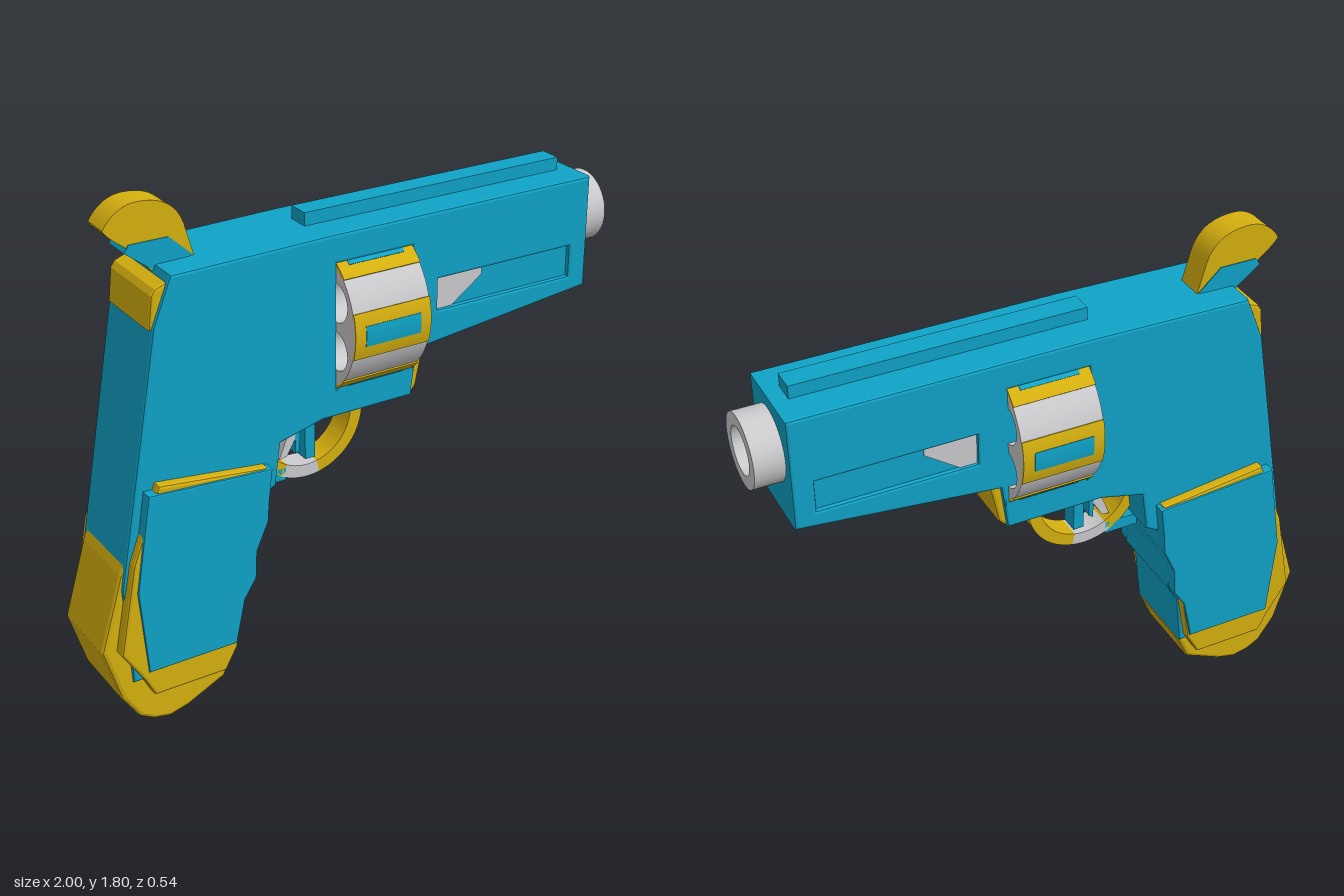
import * as THREE from 'three';
import { toCreasedNormals } from 'three/addons/utils/BufferGeometryUtils.js';

const mat = (name, color) => {
  const m = new THREE.MeshStandardMaterial({ color });
  m.name = name;
  return m;
};

export function createModel() {
  const blue = mat('blue', 0x0fa3c7);
  const yellow = mat('yellow', 0xd6b00f);
  const silver = mat('silver', 0xcbcbcd);
  const model = new THREE.Group();
  model.name = 'toyRevolver';

  const add = (name, geometry, material, parent = model) => {
    const mesh = new THREE.Mesh(geometry, material);
    mesh.name = name;
    parent.add(mesh);
    return mesh;
  };
  const vectors = pts => pts.map(p => new THREE.Vector2(p[0], p[1]));
  const rect = (x0, y0, x1, y1) => [[x0, y0], [x1, y0], [x1, y1], [x0, y1]];

  // Side profile extruded from z0 to z1, with an optional bevel kept inside the outline
  const slab = (pts, z0, z1, bevel = 0, holes = []) => {
    const shape = new THREE.Shape(vectors(pts));
    holes.forEach(h => shape.holes.push(new THREE.Path(vectors(h))));
    const geo = new THREE.ExtrudeGeometry(shape, {
      depth: z1 - z0 - 2 * bevel, bevelEnabled: bevel > 0, bevelSize: bevel,
      bevelThickness: bevel, bevelOffset: -bevel, bevelSegments: 2,
    });
    return geo.translate(0, 0, z0 + bevel);
  };
  // Section of a ring in the xy plane, angles in degrees
  const ringShape = (outer, inner, a0, a1) => {
    const shape = new THREE.Shape();
    const r = Math.PI / 180;
    shape.absarc(0, 0, outer, a0 * r, a1 * r, false);
    shape.absarc(0, 0, inner, a1 * r, a0 * r, true);
    return shape;
  };
  const extrude = (shape, depth, curveSegments = 12) => toCreasedNormals(
    new THREE.ExtrudeGeometry(shape, { depth, bevelEnabled: false, curveSegments }), 0.6);

  // Main frame with cylinder window and barrel slots
  const finger = [[-0.35, 0.77], [-0.4, 0.74], [-0.405, 0.67], [-0.45, 0.57], [-0.45, 0.47], [-0.49, 0.4]];
  const frame = [
    [-0.7, 1.59], [-0.15, 1.6], [0.9, 1.6], [0.9, 1.2], [0.2, 1.125], [0.178, 0.96],
    [-0.17, 0.96], [-0.33, 0.92], ...finger, [-0.515, 0.19], [-0.9, 0.19], [-0.92, 0.55], [-0.765, 1.43],
  ].reverse();
  const slot = rect(0.28, 1.25, 0.825, 1.36);
  add('frame', slab(frame, -0.155, 0.155, 0.01, [rect(-0.115, 1.055, 0.175, 1.5), slot]), blue);
  add('slotFloor', slab(slot, -0.14, 0.14), blue);
  const slotPatch = [[0.28, 1.25], [0.34, 1.25], [0.46, 1.335], [0.46, 1.36], [0.28, 1.36]];
  add('slotPatch', slab(slotPatch, -0.145, 0.145), silver);
  add('sightRail', slab(rect(-0.165, 1.59, 0.845, 1.645), -0.04, 0.04), blue);

  // Muzzle with a stepped bore
  const muzzle = new THREE.LatheGeometry(vectors([
    [0.125, 0.88], [0.125, 1], [0.08, 1], [0.08, 0.93], [0.07, 0.93], [0.07, 0.9], [0, 0.9],
  ]), 40);
  add('muzzle', toCreasedNormals(muzzle, 0.6).rotateZ(-Math.PI / 2).translate(0, 1.435, 0), silver);
  add('boreCentre', new THREE.CylinderGeometry(0.03, 0.03, 0.008, 24)
    .rotateZ(-Math.PI / 2).translate(0.903, 1.435, 0), yellow);

  // Six-chamber cylinder, built along z and turned to lie along x
  const drum = new THREE.Group();
  drum.name = 'cylinder';
  drum.position.set(-0.115, 1.28, 0);
  drum.rotation.y = Math.PI / 2;
  model.add(drum);
  const disc = new THREE.Shape().absarc(0, 0, 0.261, 0, Math.PI * 2, false);
  for (let i = 0; i < 6; i++) {
    const a = (i + 0.5) * Math.PI / 3;
    const hole = new THREE.Path();
    hole.absarc(0.17 * Math.cos(a), 0.17 * Math.sin(a), 0.068, 0, Math.PI * 2, true);
    disc.holes.push(hole);
    const mid = i * 60;
    add('cylinderBand', extrude(ringShape(0.266, 0.255, mid - 17.5, mid + 17.5), 0.29), yellow, drum);
    add('bandInset', extrude(ringShape(0.268, 0.262, mid - 7.6, mid + 7.6), 0.21), blue, drum)
      .position.z = 0.04;
  }
  add('chambers', extrude(disc, 0.29, 36), silver, drum);

  // Frame blocks
  add('frontBlock', slab([[0.14, 0.962], [0.185, 0.962], [0.205, 0.985], [0.237, 1.135], [0.14, 1.135]],
    -0.143, 0.143, 0.012), yellow);
  add('underPlate', slab(rect(-0.12, 0.955, 0.15, 0.965), -0.12, 0.12), silver);
  add('rearBlock', slab([[-0.68, 1.4], [-0.66, 1.57], [-0.71, 1.565], [-0.748, 1.55], [-0.762, 1.53],
    [-0.775, 1.42]].reverse(), -0.143, 0.143, 0.01).scale(1, 1, 1), yellow);

  // Hammer
  const hammer = new THREE.Shape(vectors([[-0.7, 1.56], [-0.565, 1.59], [-0.59, 1.68]]));
  hammer.bezierCurveTo(-0.61, 1.77, -0.67, 1.8, -0.75, 1.8);
  hammer.bezierCurveTo(-0.8, 1.8, -0.84, 1.77, -0.865, 1.73);
  hammer.quadraticCurveTo(-0.86, 1.71, -0.79, 1.66);
  add('hammer', extrude(hammer, 0.1).translate(0, 0, -0.05), yellow);
  add('hammerSide', slab([[-0.7, 1.57], [-0.57, 1.595], [-0.65, 1.67], [-0.785, 1.67], [-0.8, 1.645]],
    -0.053, 0.053), blue);

  // Trigger guard ring in coloured sections
  [[-78, 5, yellow], [-118, -78, silver], [170, 242, yellow]].forEach(([a0, a1, m]) =>
    add('triggerGuard', extrude(ringShape(0.215, 0.17, a0, a1), 0.09).translate(-0.165, 0.915, -0.045), m));
  add('guardTab', slab(rect(-0.375, 0.71, -0.25, 0.755), -0.045, 0.045), blue);

  // Trigger
  add('trigger', slab([[-0.26, 0.97], [-0.235, 0.87], [-0.27, 0.785], [-0.24, 0.79], [-0.205, 0.85],
    [-0.19, 0.97]], -0.035, 0.035), silver);
  add('triggerEdge', slab([[-0.205, 0.79], [-0.19, 0.8], [-0.185, 0.97], [-0.2, 0.97], [-0.207, 0.85]],
    -0.035, 0.035), blue);
  add('triggerStop', slab(rect(-0.168, 0.76, -0.13, 0.97), -0.035, 0.035), blue);

  // Grip base
  add('gripBase', slab([[-0.885, 0.68], [-0.92, 0.6], [-1, 0.33], [-0.94, 0.13], [-0.88, 0.04], [-0.83, 0.012],
    [-0.77, 0], [-0.7, 0.018], [-0.56, 0.085], [-0.512, 0.19], [-0.6, 0.3], [-0.8, 0.5]],
  -0.145, 0.145, 0.015), yellow);

  // Layered grip panels on both sides
  const backing = [[-0.79, 0.912], [-0.4, 0.865], [-0.42, 0.7], [-0.47, 0.55], [-0.53, 0.22], [-0.575, 0.14],
    [-0.84, 0.14], [-0.875, 0.21], [-0.95, 0.33], [-0.89, 0.65]].reverse();
  const panel = [[-0.83, 0.89], [-0.385, 0.86], [-0.4, 0.74], [-0.405, 0.67], [-0.45, 0.57], [-0.455, 0.47],
    [-0.5, 0.4], [-0.535, 0.24], [-0.86, 0.24], [-0.885, 0.55]].reverse();
  for (const side of [1, -1]) {
    const span = d => (side > 0 ? [0.13, d] : [-d, -0.13]);
    add('gripBacking', slab(backing, ...span(0.189), 0.01), yellow);
    add('gripPanel', slab(panel, ...span(0.196), 0.006), blue);
  }
  return model;
}
